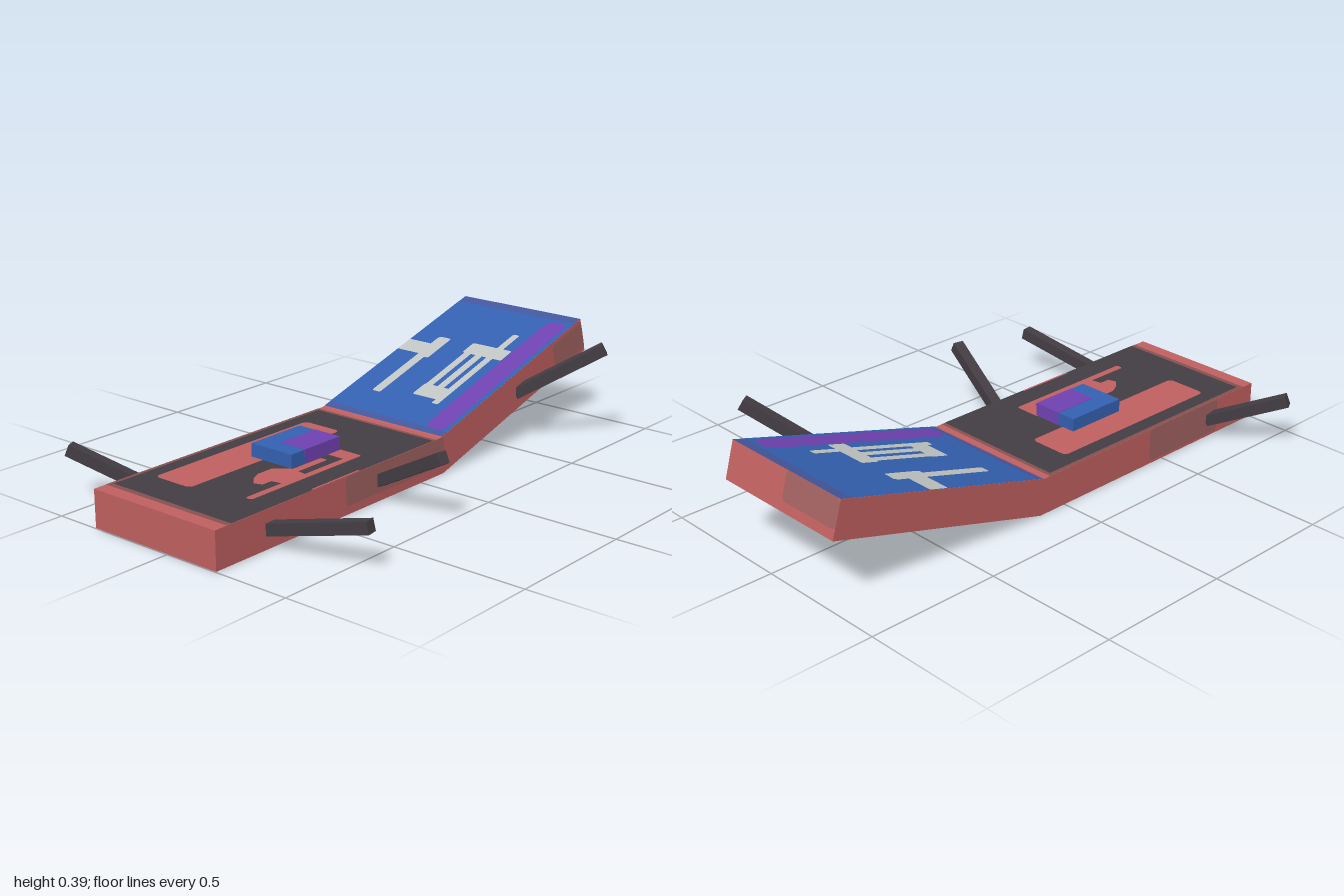
import * as THREE from 'three';

const mat = (name, color) => {
  const m = new THREE.MeshStandardMaterial({ color });
  m.name = name;
  return m;
};

export function createModel() {
  const red = mat('red', 0xbf5f5f);
  const mutedRed = mat('muted red', 0xa06060);
  const brown = mat('brown', 0x875050);
  const dark = mat('charcoal', 0x433d43);
  const blue = mat('blue', 0x3360b0);
  const edgeBlue = mat('edge blue', 0x42579c);
  const purple = mat('purple', 0x6e42b0);
  const grey = mat('pale grey', 0xc0c5c4);

  const model = new THREE.Group();
  model.name = 'bentBoard';
  const H = 0.135, Z0 = -0.33, Z1 = 0.215, KINK = 0.12, LEN = 0.916;
  const TILT = Math.atan2(0.255, 0.88);
  const inner = KINK - H * Math.tan(TILT / 2);

  const add = (parent, name, geo, material) => {
    const mesh = new THREE.Mesh(geo, material);
    mesh.name = name;
    parent.add(mesh);
    return mesh;
  };

  // Rectangle outline with optional rounded corners
  const rect = (x0, x1, y0, y1, r = 0) => {
    const pts = [];
    const corners = [[x1 - r, y1 - r, 0], [x0 + r, y1 - r, 1], [x0 + r, y0 + r, 2], [x1 - r, y0 + r, 3]];
    for (const [cx, cy, q] of corners) {
      for (let i = 0; i <= (r ? 5 : 0); i++) {
        const a = (q + i / 5) * Math.PI / 2;
        pts.push([cx + r * Math.cos(a), cy + r * Math.sin(a)]);
      }
    }
    return pts;
  };
  const face = (pts, flip = 1) =>
    new THREE.ShapeGeometry(new THREE.Shape(pts.map(([x, y]) => new THREE.Vector2(x, y * flip))));

  // The same painted outline (x, z) on the upper and lower faces
  const paint = (parent, name, material, layer, pts) => {
    const lift = 0.0007 * layer;
    add(parent, name + 'Top', face(pts, -1).rotateX(-Math.PI / 2).translate(0, H + lift, 0), material);
    add(parent, name + 'Bottom', face(pts).rotateX(Math.PI / 2).translate(0, -lift, 0), material);
  };

  // Bent board
  const end = (u, v) => [KINK + u * Math.cos(TILT) - v * Math.sin(TILT), u * Math.sin(TILT) + v * Math.cos(TILT)];
  const profile = [[-1, 0], [KINK, 0], end(LEN, 0), end(LEN, H), [inner, H], [-1, H]];
  const outline = new THREE.Shape(profile.map(([x, y]) => new THREE.Vector2(x, y)));
  add(model, 'board', new THREE.ExtrudeGeometry(outline, { depth: Z1 - Z0, bevelEnabled: false }).translate(0, 0, Z0), red);

  // Flat half: charcoal panel with red markings
  const flat = new THREE.Group();
  flat.name = 'flatHalf';
  model.add(flat);
  paint(flat, 'panelBorder', brown, 1, rect(-0.95, 0.075, Z0, Z1));
  paint(flat, 'panel', dark, 2, rect(-0.93, 0.06, -0.315, Z1));
  paint(flat, 'longBar', red, 3, rect(-0.8, -0.07, -0.26, -0.1, 0.02));
  paint(flat, 'markBlob', red, 3, [[-0.64, 0.03], [-0.61, 0], [-0.57, -0.02], [-0.5, -0.02], [-0.46, 0.03],
    [-0.47, 0.1], [-0.58, 0.11], [-0.59, 0.06], [-0.63, 0.06]]);
  paint(flat, 'markFoot', red, 3, rect(-0.75, -0.22, 0.098, 0.125, 0.01));
  paint(flat, 'markUpright', red, 3, rect(-0.28, -0.215, 0.02, 0.125, 0.01));
  paint(flat, 'markBar', red, 3, rect(-0.5, -0.32, 0.035, 0.065, 0.01));
  paint(flat, 'edgeLine', red, 3, rect(-0.56, -0.33, 0.207, Z1));

  // Raised half: blue panel with purple and grey markings
  const ramp = new THREE.Group();
  ramp.name = 'raisedHalf';
  ramp.position.x = KINK;
  ramp.rotation.z = TILT;
  model.add(ramp);
  const u = (x) => (x - (KINK - H * Math.sin(TILT))) / Math.cos(TILT);
  const band = (x0, x1, z0, z1, r) => rect(u(x0), Math.min(u(x1), LEN), z0, z1, r);
  paint(ramp, 'blueBorder', edgeBlue, 1, band(0.11, 0.97, Z0, Z1));
  paint(ramp, 'bluePanel', blue, 2, band(0.14, 0.92, Z0, Z1));
  paint(ramp, 'purpleStrip', purple, 3, band(0.14, 0.905, 0.112, 0.198, 0.03));
  const greyMarks = [
    [0.26, 0.66, -0.228, -0.19], [0.535, 0.61, Z0, -0.225], [0.52, 0.665, -0.225, -0.172],
    [0.295, 0.37, -0.065, 0.07], [0.36, 0.61, -0.06, -0.03], [0.36, 0.61, -0.008, 0.022],
    [0.27, 0.61, 0.042, 0.07], [0.6, 0.67, -0.07, 0.108], [0.66, 0.775, 0.04, 0.068],
  ];
  greyMarks.forEach(([x0, x1, z0, z1], i) => paint(ramp, 'greyMark' + (i + 1), grey, 3, band(x0, x1, z0, z1, 0.008)));

  // Faded patches on the rims
  add(model, 'frontPatch', face(rect(-0.4, KINK, 0.03, H, 0.015)).translate(0, 0, Z1 + 0.001), mutedRed);
  add(ramp, 'raisedFrontPatch', face(rect(0.72, LEN, 0.015, 0.12, 0.015)).translate(0, 0, Z1 + 0.001), mutedRed);
  add(model, 'backPatch', face(rect(0.43, 0.8, 0.01, H, 0.015)).rotateY(Math.PI).translate(0, 0, Z0 - 0.001), mutedRed);
  add(ramp, 'endPatch', face(rect(0.07, -Z0, 0.035, H, 0.015)).rotateY(Math.PI / 2).translate(LEN + 0.001, 0, 0), mutedRed);

  // Raised block with a purple corner
  const block = (name, x0, x1, y1, z0, z1, m) => add(model, name,
    new THREE.BoxGeometry(x1 - x0, y1 - H, z1 - z0).translate((x0 + x1) / 2, (H + y1) / 2, (z0 + z1) / 2), m);
  block('block', -0.46, -0.22, 0.185, -0.152, 0.03, blue);
  block('blockCorner', -0.395, -0.219, 0.186, -0.08, 0.031, purple);

  // Splayed rods
  const rods = [
    [[-0.755, 0.065, -0.32], [-0.89, 0.185, -0.578]],
    [[-0.763, 0.065, 0.2], [-0.703, 0.15, 0.577]],
    [[-0.217, 0.065, 0.2], [-0.28, 0.238, 0.52]],
    [[0.565, 0.185, 0.2], [0.75, 0.36, 0.46]],
  ];
  rods.forEach(([a, b], i) => {
    const p = new THREE.Vector3(...a), q = new THREE.Vector3(...b);
    const rod = add(model, 'rod' + (i + 1), new THREE.BoxGeometry(0.04, 0.042, p.distanceTo(q)), dark);
    rod.position.copy(p).lerp(q, 0.5);
    rod.lookAt(q);
  });

  return model;
}
